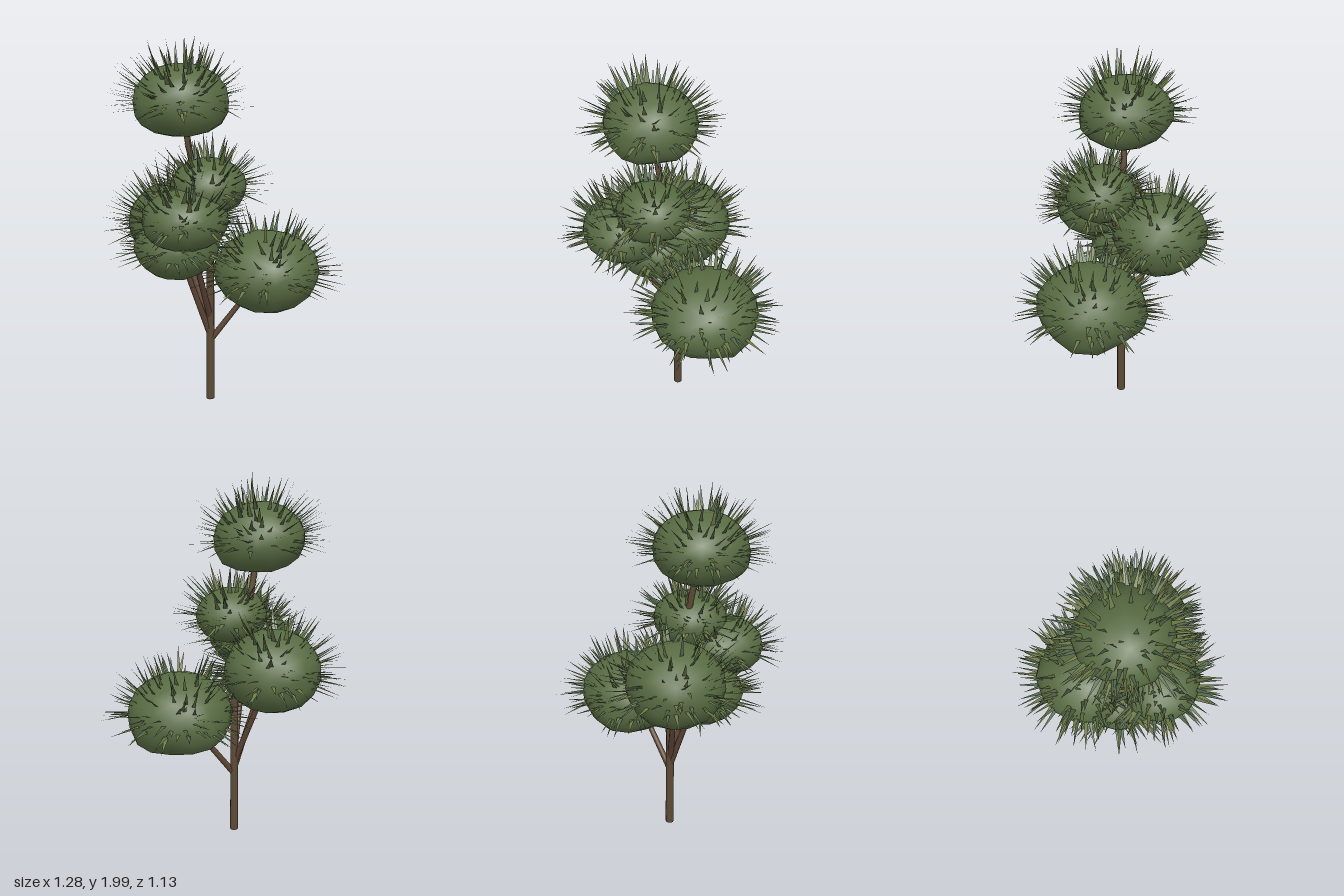
import * as THREE from 'three';
import { mergeVertices } from 'three/addons/utils/BufferGeometryUtils.js';

const V = (x, y, z) => new THREE.Vector3(x, y, z);

// Small repeatable random generator
function seeded(seed) {
  let s = seed * 7919 + 17;
  return () => ((s = (s * 16807) % 2147483647) / 2147483647);
}

// Foliage clump: a squashed sphere, flared below the middle and pulled out towards a few corners
function padGeometry(radii, flare, corners) {
  let geo = new THREE.IcosahedronGeometry(1, 2);
  geo.deleteAttribute('normal');
  geo.deleteAttribute('uv');
  geo = mergeVertices(geo, 1e-4);
  const pos = geo.attributes.position;
  const p = V(0, 0, 0);
  for (let i = 0; i < pos.count; i++) {
    p.fromBufferAttribute(pos, i);
    let swell = 1;
    for (const corner of corners) {
      const size = corner.length();
      swell += (size - 1) * Math.pow(Math.max(0, p.dot(corner) / size), 12);
    }
    const low = p.y < 0 ? 1 + flare * p.y * p.y : 1;
    p.multiplyScalar(swell).multiply(radii);
    pos.setXYZ(i, p.x * low, p.y, p.z * low);
  }
  geo.computeVertexNormals();
  return geo;
}

// Needles: flat pointed blades standing out from a clump, dense round the rim and sparse on top
function needleGeometry(radii, seed, count) {
  const rand = seeded(seed);
  const verts = [];
  const up = V(0, 1, 0);
  for (let i = 0; i < count; i++) {
    const y = -0.22 + 1.17 * Math.pow((i + rand()) / count, 1.25);
    const a = seed + i * 2.39996 + 0.7 * rand();
    const r = Math.sqrt(Math.max(0, 1 - y * y));
    const dir = V(r * Math.cos(a), y, r * Math.sin(a));
    const base = dir.clone().multiply(radii).multiplyScalar(0.96);
    const out = dir.clone().divide(radii).normalize();
    out.add(V(rand() - 0.5, rand() - 0.35, rand() - 0.5).multiplyScalar(0.35)).normalize();
    const side = V(0, 0, 0).crossVectors(up, out).normalize().multiplyScalar(0.009 + 0.005 * rand());
    const tip = base.clone().addScaledVector(out, 0.1 + 0.07 * rand());
    for (const q of [base.clone().add(side), tip, base.clone().sub(side)]) verts.push(q.x, q.y, q.z);
  }
  const geo = new THREE.BufferGeometry();
  geo.setAttribute('position', new THREE.Float32BufferAttribute(verts, 3));
  geo.computeVertexNormals();
  return geo;
}

// Tapered limb between two points
function limb(name, from, to, r0, r1, material) {
  const axis = to.clone().sub(from);
  const mesh = new THREE.Mesh(new THREE.CylinderGeometry(r1, r0, axis.length(), 10), material);
  mesh.position.copy(from).add(to).multiplyScalar(0.5);
  mesh.quaternion.setFromUnitVectors(V(0, 1, 0), axis.normalize());
  mesh.name = name;
  return mesh;
}

export function createModel() {
  const tree = new THREE.Group();
  tree.name = 'tree';
  const bark = new THREE.MeshStandardMaterial({ color: 0x5c4a36 });
  const twig = new THREE.MeshStandardMaterial({ color: 0x5a4233 });
  const leaf = new THREE.MeshStandardMaterial({ color: 0x586c43 });
  const needleColors = [0x6e7a48, 0x55694a].map(
    (color) => new THREE.MeshStandardMaterial({ color, side: THREE.DoubleSide }));

  // Trunk: upright below, leaning towards the crown above
  const trunk = [V(-0.042, 0, 0.035), V(-0.042, 0.8, 0.035), V(-0.12, 1.2, 0.035), V(-0.2, 1.62, 0.03)];
  const thick = [0.023, 0.021, 0.018, 0.015];
  for (let i = 0; i < 3; i++) {
    tree.add(limb('trunk', trunk[i], trunk[i + 1], thick[i], thick[i + 1], bark));
  }

  // Clumps: centre, radii, flare, corners in units of the radii, needle count, branch start
  const pads = [
    { name: 'crown', c: V(-0.205, 1.665, 0.03), r: V(0.245, 0.187, 0.24), flare: 0.16, needles: 170,
      corners: [V(0.9, -0.6, 0.1), V(-0.95, -0.5, 0.2), V(0, 0.05, -1.1), V(0.1, -0.6, 0.93), V(0.92, 0.45, 0)] },
    { name: 'upperFront', c: V(-0.11, 1.23, 0.148), r: V(0.198, 0.15, 0.19), flare: 0.1, needles: 135,
      corners: [V(1, 0.3, 0), V(0, -0.5, 0.95)], from: V(-0.08, 0.98, 0.035) },
    { name: 'rightFront', c: V(-0.265, 1.085, 0.205), r: V(0.22, 0.157, 0.215), flare: 0.12, needles: 150,
      corners: [V(-0.97, 0.5, 0), V(-0.92, -0.5, 0.1)], from: V(-0.045, 0.48, 0.035) },
    { name: 'lowerRight', c: V(-0.22, 0.89, 0.0), r: V(0.228, 0.175, 0.22), flare: 0, needles: 150,
      corners: [V(-1.03, 0.1, 0), V(-0.1, -1.04, 0)], from: V(-0.045, 0.38, 0.035) },
    { name: 'lowerLeft', c: V(0.233, 0.738, 0.157), r: V(0.283, 0.215, 0.288), flare: 0.06, needles: 180,
      corners: [V(0.86, -0.76, 0), V(0, -0.55, -0.98), V(-0.15, -0.9, 0.55), V(0, 0, 1.05), V(0.96, 0.42, 0),
        V(-1.02, 0.05, 0)],
      from: V(-0.045, 0.34, 0.035) },
    { name: 'back', c: V(-0.15, 0.98, -0.16), r: V(0.262, 0.224, 0.26), flare: 0.03, needles: 170,
      corners: [V(0, 0.48, -0.97), V(0, -0.42, -0.97), V(0.95, 0.45, 0)], from: V(-0.045, 0.42, 0.035) },
  ];
  pads.forEach(({ name, c, r, flare, corners, from, needles }, i) => {
    const clump = new THREE.Group();
    clump.name = name + 'Clump';
    clump.position.copy(c);
    const body = new THREE.Mesh(padGeometry(r, flare, corners), leaf);
    body.name = 'foliage';
    clump.add(body);
    needleColors.forEach((material, k) => {
      const spikes = new THREE.Mesh(needleGeometry(r, 2 * i + k + 1, needles / 2), material);
      spikes.name = 'needles';
      clump.add(spikes);
    });
    tree.add(clump);
    if (from) tree.add(limb(name + 'Branch', from, c, 0.017, 0.013, twig));
  });
  return tree;
}
